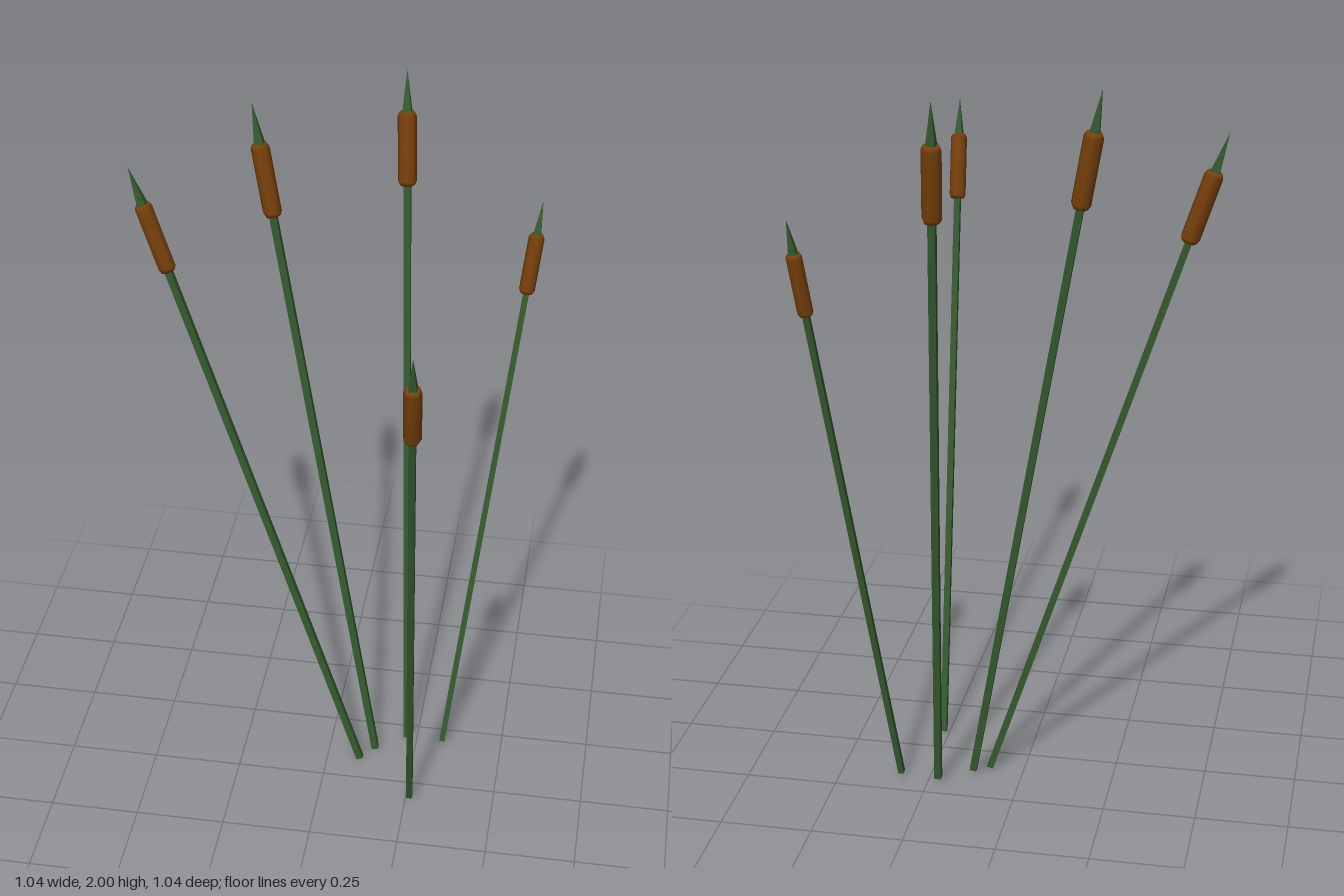
import * as THREE from 'three';

const green = new THREE.MeshStandardMaterial({ color: 0x35592f, flatShading: true });
const brown = new THREE.MeshStandardMaterial({ color: 0x7a410c });

// Base and tip of each reed
const reeds = [
  { base: [0.095, 0.003, -0.085], tip: [-0.522, 1.86, -0.124] },
  { base: [0.135, 0.012, -0.125], tip: [-0.229, 1.99, -0.274] },
  { base: [0.222, 0.013, -0.187], tip: [0.137, 2.0, -0.514] },
  { base: [0.262, 0.013, 0.07], tip: [0.291, 1.76, 0.521] },
  { base: [0.327, 0.017, -0.183], tip: [0.513, 1.68, -0.455] },
];

function part(name, geometry, material, y) {
  const mesh = new THREE.Mesh(geometry, material);
  mesh.name = name;
  mesh.position.y = y;
  return mesh;
}

// Upright reed of a given length, all proportions following the length
function createReed(length) {
  const reed = new THREE.Group();
  const headStart = 0.846 * length;
  const headEnd = 0.945 * length;
  const headLength = headEnd - headStart;
  const r = 0.0126 * length;
  const stemWidth = 0.0094 * length;

  // Thin square stem running into the seed head
  const stemLength = headStart + headLength * 0.5;
  reed.add(part('stem', new THREE.BoxGeometry(stemWidth, stemLength, stemWidth), green, stemLength / 2));

  // Softly shaded seed head with bevelled ends
  const profile = [[0, 0], [0.78, 0], [1, 0.06], [1, 0.94], [0.78, 1], [0, 1]]
    .map(([x, y]) => new THREE.Vector2(x * r, y * headLength));
  reed.add(part('seedHead', new THREE.LatheGeometry(profile, 8), brown, headStart));

  // Four-sided spike above the head, its sides in line with the stem
  const spikeLength = length - headEnd;
  const spike = new THREE.ConeGeometry(stemWidth * 0.9, spikeLength, 4).rotateY(Math.PI / 4);
  reed.add(part('spike', spike, green, headEnd + spikeLength / 2));
  return reed;
}

export function createModel() {
  const model = new THREE.Group();
  model.name = 'reeds';
  const up = new THREE.Vector3(0, 1, 0);
  reeds.forEach(({ base, tip }, i) => {
    const start = new THREE.Vector3(...base);
    const axis = new THREE.Vector3(...tip).sub(start);
    const reed = createReed(axis.length());
    reed.name = `reed${i + 1}`;
    reed.position.copy(start);
    reed.quaternion.setFromUnitVectors(up, axis.normalize());
    model.add(reed);
  });
  return model;
}
